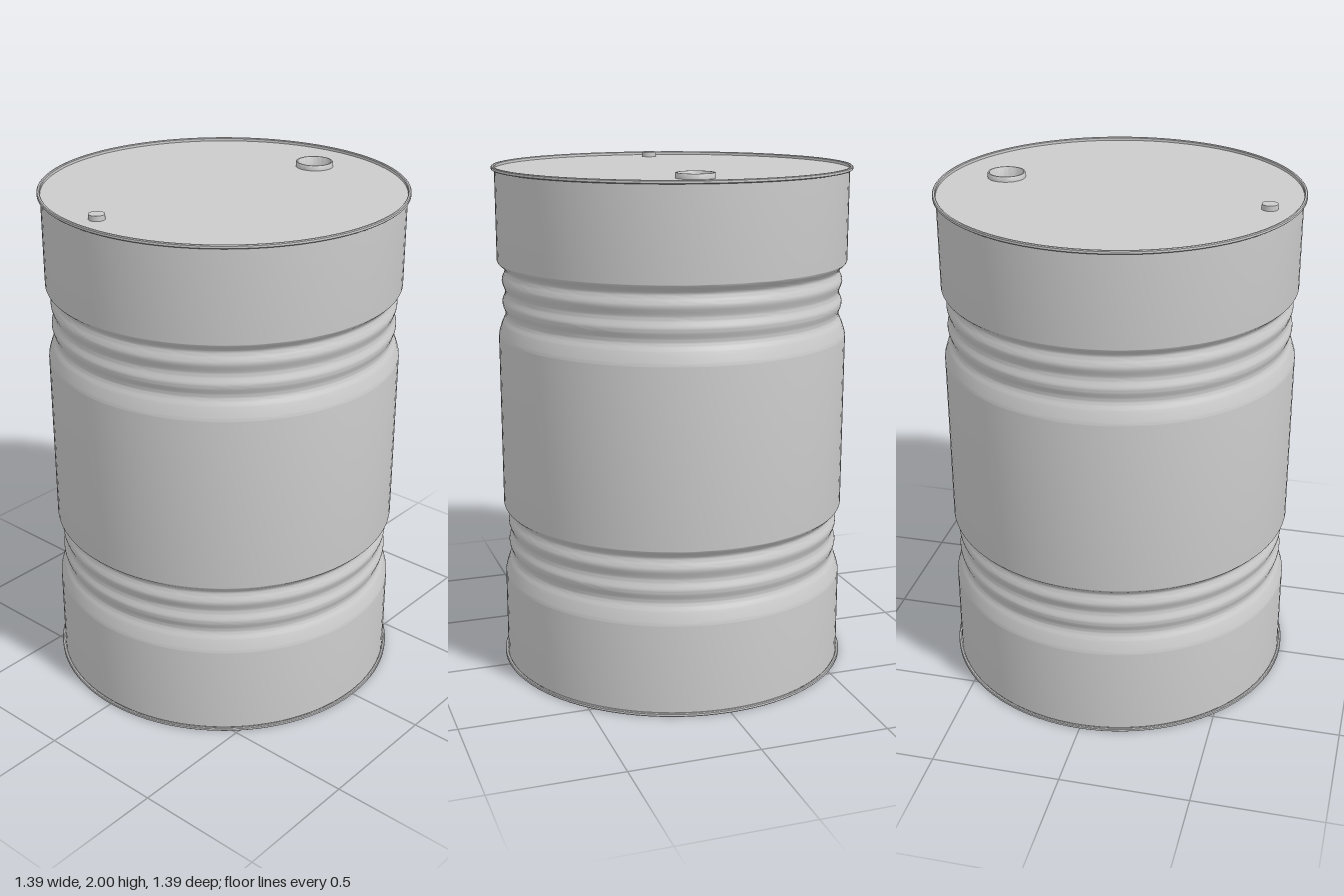
import * as THREE from 'three';
import { toCreasedNormals } from 'three/addons/utils/BufferGeometryUtils.js';

const SEGMENTS = 96;
const BODY_R = 0.685;
const LID_Y = 1.98;
const BUNG = { x: 0.463, z: 0.068, r: 0.064 };

export function createModel() {
  const drum = new THREE.Group();
  drum.name = 'drum';
  const material = new THREE.MeshStandardMaterial({ color: 0xcccccc, side: THREE.DoubleSide });

  const add = (name, geometry, x = 0, y = 0, z = 0) => {
    const mesh = new THREE.Mesh(geometry, material);
    mesh.name = name;
    mesh.position.set(x, y, z);
    drum.add(mesh);
    return mesh;
  };
  const lathe = (pairs, segments = SEGMENTS) =>
    toCreasedNormals(new THREE.LatheGeometry(pairs.map(([r, y]) => new THREE.Vector2(r, y)), segments), 0.6);

  // Wall: straight sections joined by two bands of three rolled grooves
  const band = (y) => {
    const keys = [
      [BODY_R, -0.15], [0.683, -0.135], [0.67, -0.095], [0.656, -0.06], [0.668, -0.015],
      [0.656, 0.026], [0.668, 0.07], [0.656, 0.112], [0.682, 0.142], [BODY_R, 0.155],
    ];
    const curve = new THREE.SplineCurve(keys.map(([r, dy]) => new THREE.Vector2(r, y + dy)));
    return curve.getPoints(54).map((p) => [p.x, p.y]);
  };
  add('wall', lathe([[BODY_R, 0.012], ...band(0.503), ...band(1.483), [BODY_R, 1.983]]));

  // Rolled rims at both ends
  const rim = [
    [0.685, -0.007], [0.694, -0.007], [0.697, -0.004], [0.697, 0.004],
    [0.694, 0.007], [0.688, 0.007], [0.685, 0.004], [0.685, -0.007],
  ];
  add('bottomRim', lathe(rim), 0, 0.007, 0);
  add('topRim', lathe(rim), 0, 1.986, 0);

  // Lid with an opening for the bung
  const lid = new THREE.Shape().absarc(0, 0, 0.687, 0, Math.PI * 2);
  lid.holes.push(new THREE.Path().absarc(BUNG.x, -BUNG.z, BUNG.r, 0, Math.PI * 2, true));
  add('lid', new THREE.ShapeGeometry(lid, SEGMENTS).rotateX(-Math.PI / 2), 0, LID_Y, 0);

  // Base plate, set slightly inside the bottom rim
  add('base', new THREE.CircleGeometry(0.687, SEGMENTS).rotateX(Math.PI / 2), 0, 0.007, 0);

  // Recessed bung: raised collar, inner wall and floor
  add('bung', lathe([
    [0.073, -0.002], [0.073, 0.017], [0.071, 0.02], [0.066, 0.02],
    [BUNG.r, 0.017], [BUNG.r, -0.08], [0, -0.08],
  ], 48), BUNG.x, LID_Y, BUNG.z);

  // Small vent plug
  add('ventPlug', new THREE.CylinderGeometry(0.03, 0.03, 0.022, 32), -0.575, LID_Y + 0.009, -0.09);

  return drum;
}
